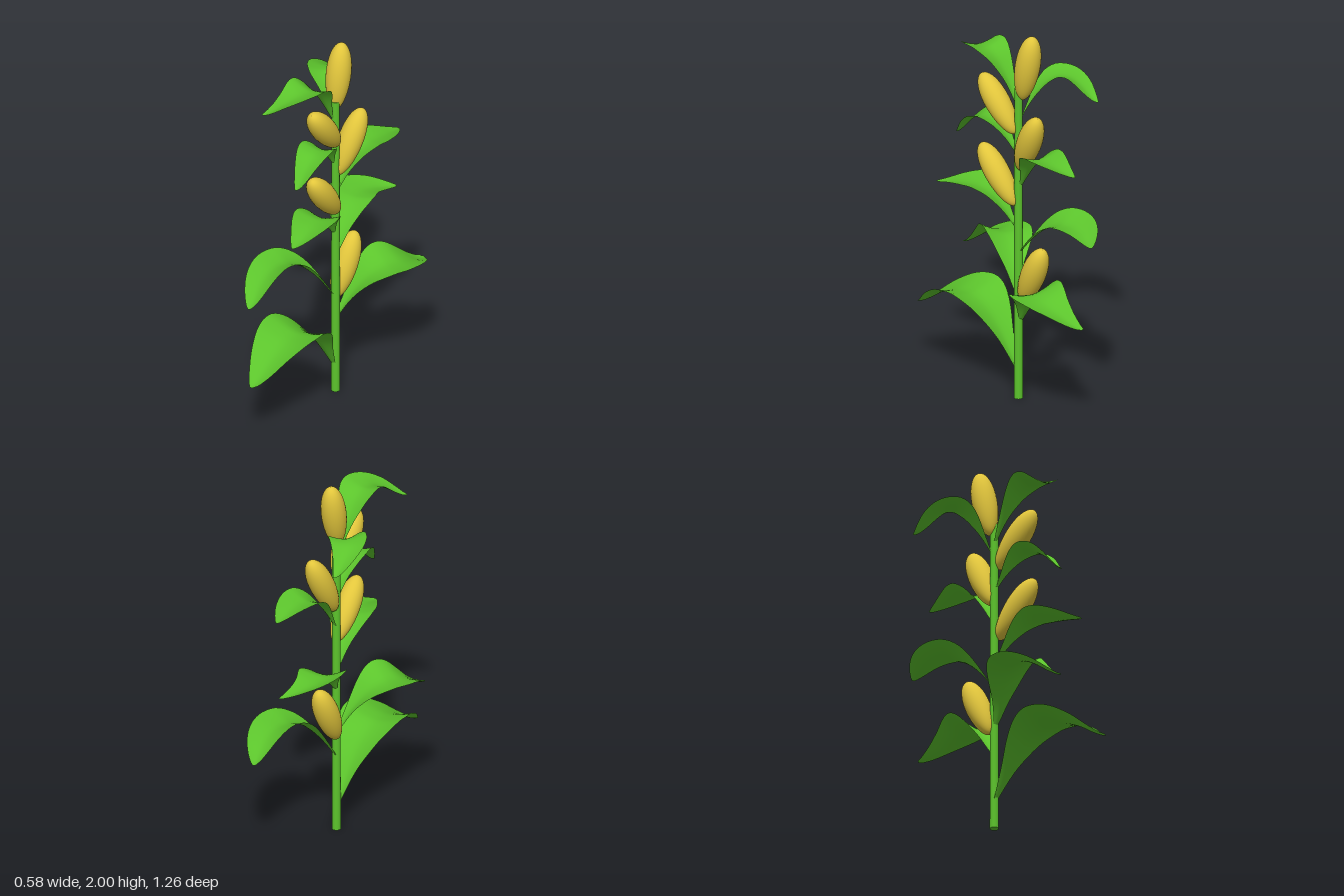
import * as THREE from 'three';

const GREEN = new THREE.MeshStandardMaterial({ color: 0x5cc42c, side: THREE.DoubleSide });
const YELLOW = new THREE.MeshStandardMaterial({ color: 0xe2c63c });
const STALK_X = 0.004, STALK_Z = -0.068, STALK_R = 0.023;

// piecewise curve through [u, value] pairs, sampled at u
const curveOf = (pts) => {
  const c = new THREE.SplineCurve(pts.map(([x, y]) => new THREE.Vector2(x, y)));
  const table = c.getPoints(120);
  return (u) => {
    let i = 1;
    while (i < table.length - 1 && table[i].x < u) i++;
    const a = table[i - 1], b = table[i];
    return THREE.MathUtils.lerp(a.y, b.y, THREE.MathUtils.clamp((u - a.x) / (b.x - a.x), 0, 1));
  };
};
// height along the midrib: base to peak, then peak to tip
const PEAK = 0.45;
const rise = curveOf([[0, 0], [0.11, 0.38], [0.21, 0.66], [0.32, 0.88], [0.45, 1], [0.6, 1.01]]);
const fall = curveOf([[0.32, 0.97], [0.45, 1], [0.6, 0.93], [0.75, 0.64], [0.88, 0.25], [0.96, 0.04], [1, 0]]);
// half width as a fraction of the leaf's reach
const halfWidth = curveOf([[0, 0.022], [0.12, 0.08], [0.25, 0.165], [0.38, 0.235], [0.5, 0.25],
  [0.62, 0.222], [0.75, 0.167], [0.88, 0.098], [0.96, 0.048], [1, 0.016]]);

// arching, channelled leaf from the stalk to its tip;
// bulge bows it sideways and roll banks the blade about its midrib
function leaf(baseY, peakY, tip, bulge, roll) {
  const [tx, tipY, tz] = tip;
  const dx = tx, dz = tz - STALK_Z, full = Math.hypot(dx, dz);
  const h = new THREE.Vector3(dx / full, 0, dz / full);
  const across = new THREE.Vector3(h.z, 0, -h.x);
  const start = STALK_R * 0.75, reach = full - start;
  const height = (u) => u < PEAK
    ? baseY + (peakY - baseY) * rise(u)
    : tipY + (peakY - tipY) * fall(u);
  const mid = (u) => new THREE.Vector3(0, height(u), STALK_Z)
    .addScaledVector(h, start + reach * u)
    .addScaledVector(across, bulge * Math.sin(Math.PI * Math.pow(u, 1.25)));
  const NU = 32, NV = 10, pos = [], idx = [];
  for (let i = 0; i <= NU; i++) {
    const u = i / NU, p = mid(u), w = halfWidth(u) * reach;
    // frame that follows the midrib, banked by roll
    const tangent = mid(Math.min(1, u + 0.03)).sub(mid(Math.max(0, u - 0.03))).normalize();
    const side = new THREE.Vector3(tangent.z, 0, -tangent.x).normalize()
      .applyAxisAngle(tangent, -roll * Math.min(1, u * 3));
    const up = tangent.clone().cross(side);
    for (let j = 0; j <= NV; j++) {
      const s = (j / NV) * 2 - 1;
      const q = p.clone().addScaledVector(side, s * w)
        .addScaledVector(up, 0.28 * w * Math.pow(Math.abs(s), 1.6));
      pos.push(q.x, q.y, q.z);
      if (i < NU && j < NV) {
        const a = i * (NV + 1) + j, b = a + NV + 1;
        idx.push(a, b, a + 1, b, b + 1, a + 1);
      }
    }
  }
  const g = new THREE.BufferGeometry();
  g.setAttribute('position', new THREE.Float32BufferAttribute(pos, 3));
  g.setIndex(idx);
  g.computeVertexNormals();
  const m = new THREE.Mesh(g, GREEN);
  m.name = 'leaf';
  return m;
}

// slightly egg-shaped ear with a narrower foot, from base to top
function ear(base, top) {
  const a = new THREE.Vector3(...base), b = new THREE.Vector3(...top);
  const axis = b.clone().sub(a), len = axis.length(), pts = [];
  for (let i = 0; i <= 24; i++) {
    const t = Math.PI * i / 24;
    const y = (1 - Math.cos(t)) / 2;
    pts.push(new THREE.Vector2(0.066 * Math.sin(t) * (0.88 + 0.2 * y), y * len));
  }
  const m = new THREE.Mesh(new THREE.LatheGeometry(pts, 28), YELLOW);
  m.position.copy(a);
  m.quaternion.setFromUnitVectors(new THREE.Vector3(0, 1, 0), axis.normalize());
  m.name = 'ear';
  return m;
}

export function createModel() {
  const plant = new THREE.Group();
  plant.name = 'cornPlant';

  const stalk = new THREE.Mesh(new THREE.CylinderGeometry(0.021, STALK_R, 1.7, 16), GREEN);
  stalk.position.set(STALK_X, 0.85, STALK_Z);
  stalk.name = 'stalk';
  plant.add(stalk);

  // base height, midrib peak, tip, sideways bow, roll
  const leaves = [
    // front
    [0.16, 0.485, [0.005, 0.335, 0.63], 0, 0],
    [0.57, 0.8, [-0.14, 0.665, 0.46], -0.085, -0.14],
    [0.93, 1.125, [0.10, 1.085, 0.41], 0.015, 0],
    [1.34, 1.505, [0.05, 1.37, 0.32], 0.01, 0],
    [1.60, 1.865, [-0.13, 1.77, 0.365], 0.07, 0],
    // back
    [0.43, 0.675, [0.12, 0.57, -0.63], -0.088, -0.14],
    [0.81, 1.0, [0, 0.965, -0.575], 0.085, -0.1],
    [1.17, 1.385, [0.06, 1.355, -0.515], -0.025, 0],
    [1.55, 1.765, [-0.22, 1.655, -0.41], 0.065, 0],
  ];
  for (const l of leaves) plant.add(leaf(...l));

  const ears = [
    [[-0.01, 0.53, -0.085], [0, 0.86, -0.235]],
    [[0.02, 1.06, -0.06], [0.032, 1.345, 0.168]],
    [[0.005, 1.26, -0.08], [0.045, 1.595, -0.24]],
    [[0.02, 1.455, -0.06], [0.032, 1.73, 0.165]],
    [[-0.01, 1.64, -0.08], [-0.017, 2.0, -0.147]],
  ];
  for (const e of ears) plant.add(ear(...e));

  return plant;
}
